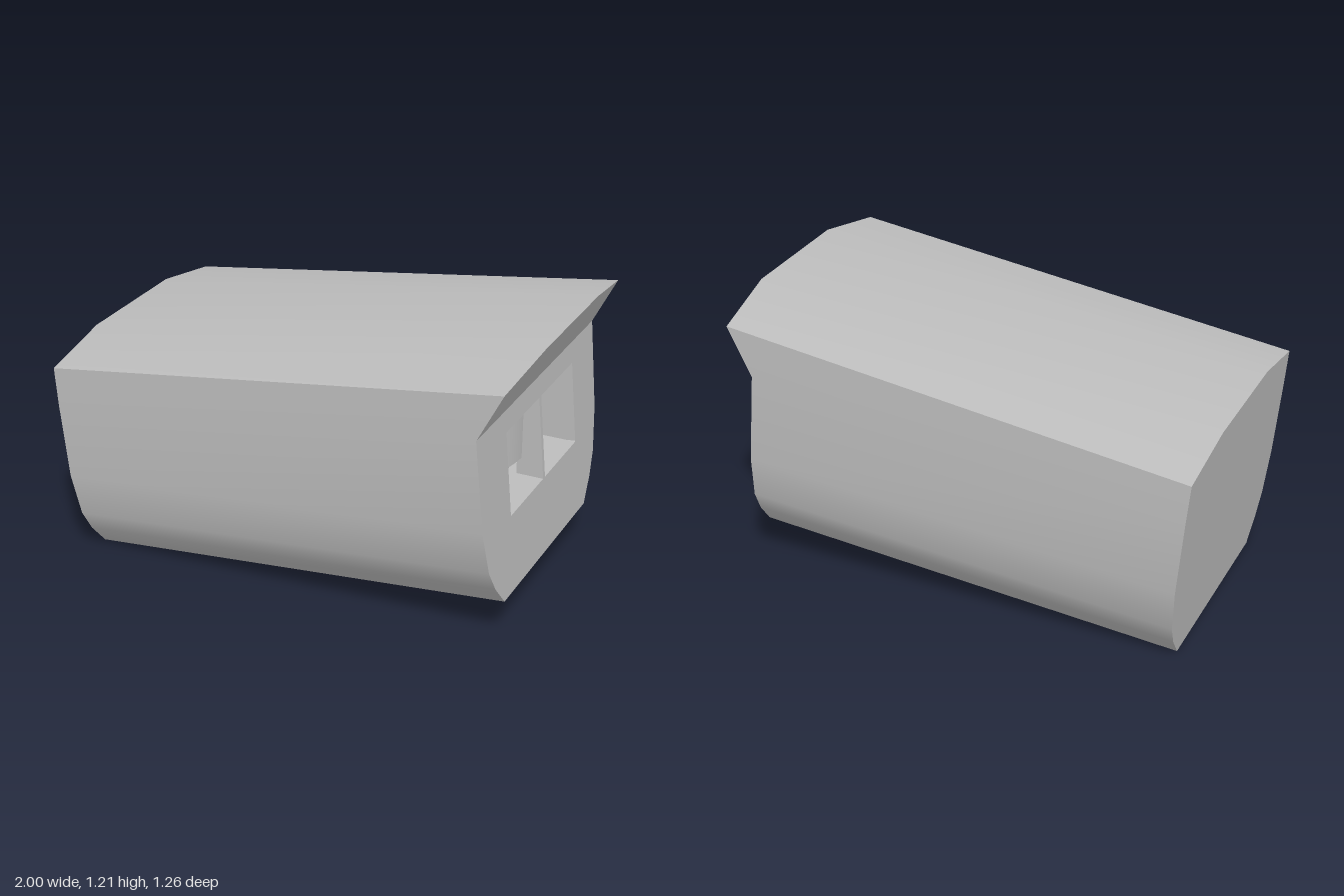
import * as THREE from 'three';

const shell = new THREE.MeshStandardMaterial({ color: 0xbcbcbc, side: THREE.DoubleSide });
shell.name = 'plain grey';

// x of the sloping end faces at a given height
const BREAK = 0.945;
const frontX = y => y < BREAK
  ? 0.935 - 0.07 * (y - 0.18) / (BREAK - 0.18)
  : 0.865 + 0.135 * (y - BREAK) / (1.21 - BREAK);
const backX = y => -0.91 - 0.09 * y / 0.925;

// half profile: [z, y at back end, y at front end], bottom to top
const side = [[0.45, 0, 0.18], [0.53, 0.095, 0.275], [0.583, 0.19, 0.37], [0.622, 0.38, 0.56],
  [0.628, 0.70, BREAK], [0.624, 0.865, 1.148]];
const ridge = [0.285, 0.925, 1.21];
const mirror = pts => pts.map(([z, b, f]) => [-z, b, f]).reverse();

// smooth skin stretched from the back end to the front end
function loft(pts) {
  const pos = [], index = [];
  pts.forEach(([z, yb, yf], i) => {
    pos.push(backX(yb), yb, z, frontX(yf), yf, z);
    if (i) {
      const a = 2 * i - 2;
      index.push(a, a + 1, a + 3, a, a + 3, a + 2);
    }
  });
  const g = new THREE.BufferGeometry();
  g.setAttribute('position', new THREE.Float32BufferAttribute(pos, 3));
  g.setIndex(index);
  g.computeVertexNormals();
  return g;
}

// flat outline laid onto an end face; sign +1 faces front end, -1 back end
function endFace(pts, xAt, sign, holes = []) {
  const shape = new THREE.Shape(pts.map(([z, y]) => new THREE.Vector2(-sign * z, y)));
  holes.forEach(h => shape.holes.push(new THREE.Path(h.map(([z, y]) => new THREE.Vector2(-sign * z, y)))));
  const g = new THREE.ShapeGeometry(shape);
  const p = g.attributes.position;
  for (let i = 0; i < p.count; i++) {
    const y = p.getY(i), z = -sign * p.getX(i);
    p.setXYZ(i, xAt(y), y, z);
  }
  g.computeVertexNormals();
  return g;
}

function quad(a, b, c, d) {
  const g = new THREE.BufferGeometry();
  g.setAttribute('position', new THREE.Float32BufferAttribute([...a, ...b, ...c, ...d], 3));
  g.setIndex([0, 1, 2, 0, 2, 3]);
  g.computeVertexNormals();
  return g;
}

export function createModel() {
  const model = new THREE.Group();
  model.name = 'hood';
  const add = (name, geometry) => {
    const m = new THREE.Mesh(geometry, shell);
    m.name = name;
    model.add(m);
    return m;
  };

  // outer skin, open at the bottom
  add('leftSide', loft(side));
  add('rightSide', loft(mirror(side)));
  const roof = [side[5], ridge];
  add('roof', loft([...roof, ...mirror(roof)]));

  // end faces
  const all = [...side, ridge];
  const outline = [...all, ...mirror(all)];
  add('backFace', endFace(outline.map(([z, b]) => [z, b]), backX, -1));
  const low = side.slice(0, 5), high = [...side.slice(4), ridge];
  const W = { z0: -0.378, z1: 0.341, y0: 0.5, y1: 0.855 };
  add('frontFace', endFace([...low, ...mirror(low)].map(p => [p[0], p[2]]), frontX, 1,
    [[[W.z0, W.y0], [W.z1, W.y0], [W.z1, W.y1], [W.z0, W.y1]]]));
  add('overhang', endFace([...high, ...mirror(high)].map(p => [p[0], p[2]]), frontX, 1));

  // rounded belly inside the open underside
  const belly = [[0.61, 0.4], [0.54, 0.34], [0.42, 0.275], [0.22, 0.22]].map(([z, h]) => [z, h, h + 0.18]);
  add('belly', loft([...mirror([...belly].reverse()).reverse(), [0, 0.2, 0.38], ...[...belly].reverse()]));

  // window recess
  const X = 0.4, f0 = frontX(W.y0), f1 = frontX(W.y1);
  add('recessFloor', quad([X, W.y0, W.z1], [f0, W.y0, W.z1], [f0, W.y0, W.z0], [X, W.y0, W.z0]));
  add('recessCeiling', quad([X, W.y1, W.z0], [f1, W.y1, W.z0], [f1, W.y1, W.z1], [X, W.y1, W.z1]));
  add('recessRight', quad([X, W.y0, W.z0], [f0, W.y0, W.z0], [f1, W.y1, W.z0], [X, W.y1, W.z0]));
  add('recessLeft', quad([f0, W.y0, W.z1], [X, W.y0, W.z1], [X, W.y1, W.z1], [f1, W.y1, W.z1]));

  // curved drum at the back of the recess, undercut along its foot
  const R = 0.45, lip = 0.575, zc = (W.z0 + W.z1) / 2, half = Math.asin(0.3595 / R);
  const drum = (name, rTop, rBottom, y0, y1) =>
    add(name, new THREE.CylinderGeometry(rTop, rBottom, y1 - y0, 32, 1, true, Math.PI / 2 - half, 2 * half))
      .position.set(0.36, (y0 + y1) / 2, zc);
  drum('drum', R, R, lip, W.y1);
  drum('drumUndercut', R, R - 0.08, W.y0, lip);

  // thin upright dividing the window
  const bar = new THREE.Shape([[0.79, W.y0], [f0, W.y0], [f1, W.y1], [0.79, W.y1]]
    .map(([x, y]) => new THREE.Vector2(x, y)));
  add('windowDivider', new THREE.ExtrudeGeometry(bar, { depth: 0.021, bevelEnabled: false })).position.z = -0.027;

  return model;
}
